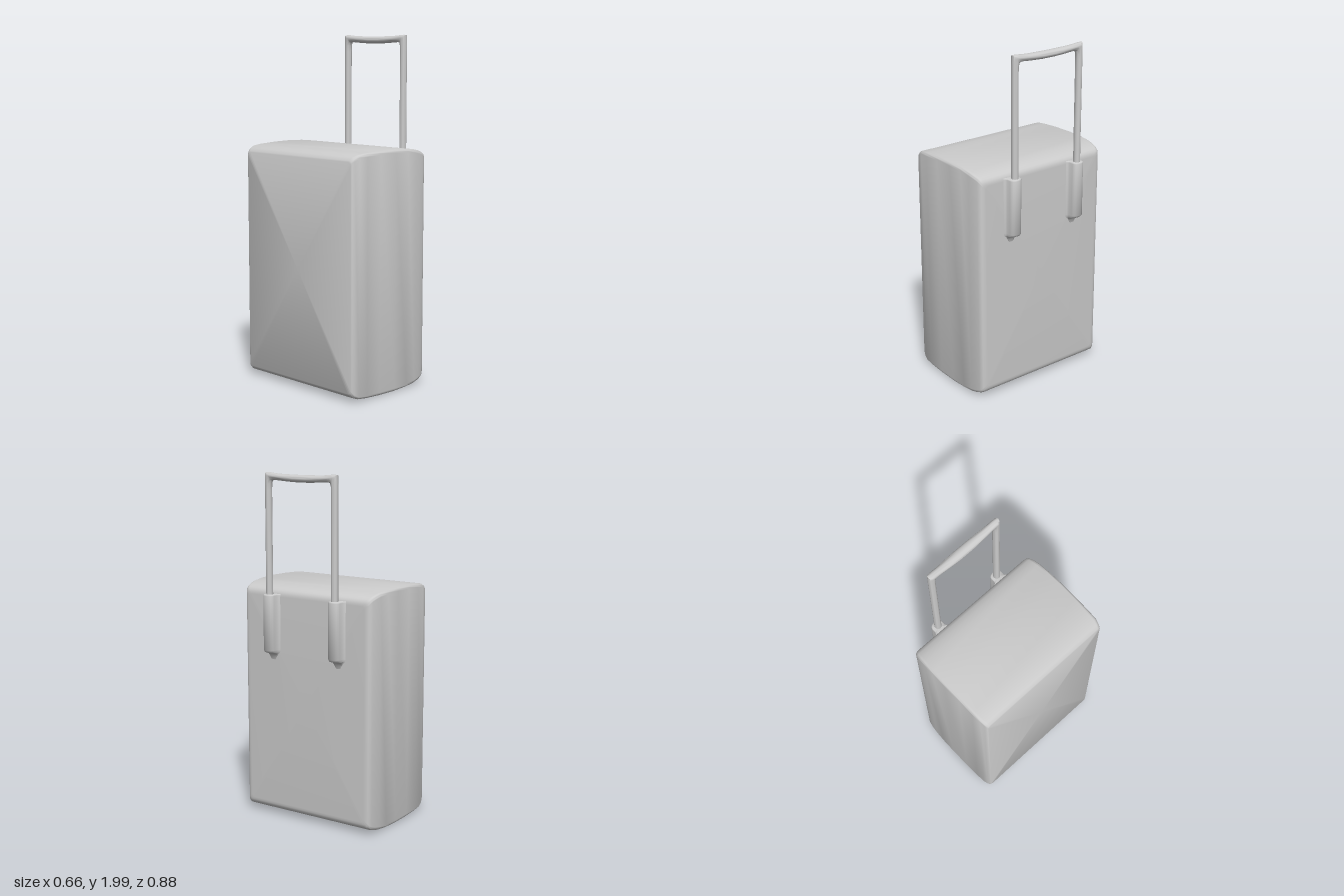
import * as THREE from 'three';
import { toCreasedNormals } from 'three/addons/utils/BufferGeometryUtils.js';

const V = (x, y, z) => new THREE.Vector3(x, y, z);

// Skins a list of closed rings and caps both ends
function loft(rings, crease = 0.7) {
  const n = rings[0].length, index = [];
  const points = rings.flat();
  for (let i = 0; i < rings.length - 1; i++) {
    for (let j = 0; j < n; j++) {
      const k = (j + 1) % n;
      const a = i * n + j, b = i * n + k, c = b + n, d = a + n;
      index.push(a, b, c, a, c, d);
    }
  }
  const cap = (ring, start, flip) => {
    const centre = ring.reduce((s, p) => s.add(p), V(0, 0, 0)).divideScalar(n);
    const m = points.push(centre) - 1;
    for (let j = 0; j < n; j++) {
      const a = start + j, b = start + (j + 1) % n;
      index.push(m, flip ? b : a, flip ? a : b);
    }
  };
  cap(rings[0], 0, true);
  cap(rings[rings.length - 1], (rings.length - 1) * n, false);
  const geo = new THREE.BufferGeometry().setFromPoints(points);
  geo.setIndex(index);
  return toCreasedNormals(geo, crease);
}

// Rounded rectangle in the yz plane at a given x
function bodyRing(x, insetY, insetZ, r = 0.02) {
  const hy = 0.686 - insetY, hz = 0.442 - insetZ, ring = [];
  const corners = [[1, 1], [-1, 1], [-1, -1], [1, -1]];
  corners.forEach(([sy, sz], q) => {
    for (let i = 0; i <= 5; i++) {
      const a = (q + i / 5) * Math.PI / 2;
      ring.push(V(x, 0.689 + sy * (hy - r) + r * Math.cos(a), sz * (hz - r) + r * Math.sin(a)));
    }
  });
  return ring;
}

export function createModel() {
  const group = new THREE.Group();
  const material = new THREE.MeshStandardMaterial({ color: 0xcccccc });
  const add = (name, geo) => {
    const mesh = new THREE.Mesh(geo, material);
    mesh.name = name;
    group.add(mesh);
    return mesh;
  };

  // Case: gently crowned sides, flat crisp left... right-hand face soft-edged
  const sections = [ // x, inset in y, inset in z
    [-0.33, 0.05, 0.024], [-0.326, 0.042, 0.018], [-0.31, 0.026, 0.012],
    [-0.28, 0.014, 0.005], [-0.22, 0.007, 0.003], [-0.12, 0.002, 0.001],
    [0, 0, 0], [0.1, 0.004, 0.001], [0.17, 0.011, 0.004], [0.205, 0.019, 0.007],
    [0.235, 0.029, 0.012], [0.25, 0.038, 0.016], [0.259, 0.049, 0.023],
    [0.264, 0.062, 0.036], [0.265, 0.075, 0.05],
  ];
  add('caseBody', loft(sections.map((s) => bodyRing(...s))));

  // Handle sleeves: D-shaped tubes flaring into the case wall
  const half = [[0.055, 0.255], [0.053, 0.263], [0.042, 0.269], [0.036, 0.28],
    [0.036, 0.303], [0.033, 0.314], [0.026, 0.323], [0.014, 0.328]];
  const profile = [...half, [0, 0.329], ...half.map(([z, x]) => [-z, x]).reverse()];
  const levels = [ // y, width scale, depth scale
    [0.935, 0.4, 0.03], [0.955, 0.65, 0.12], [0.97, 0.85, 0.28], [0.977, 0.92, 0.6],
    [0.983, 0.96, 0.85], [0.996, 1, 1], [1.308, 1, 1], [1.314, 0.97, 0.97], [1.316, 0.9, 0.92],
  ];
  for (const side of [1, -1]) {
    const rings = levels.map(([y, w, d]) => profile.map(([z, x]) =>
      V(x > 0.26 ? 0.263 + (x - 0.263) * d : x, y, side * 0.223 + z * w)));
    add(side > 0 ? 'frontSleeve' : 'backSleeve', loft(rings, 0.9));
  }

  // Pull handle: two rods joined by a swelling grip, filleted inside the corners
  const halfPath = [ // y, z, outward direction angle from z, outer, inner, x half-width
    [1.02, 0.222, 0, 0.019, 0.019, 0.021], [1.9, 0.222, 0, 0.019, 0.019, 0.021],
    [1.935, 0.222, 0, 0.019, 0.021, 0.021], [1.955, 0.222, 0.2, 0.019, 0.027, 0.021],
    [1.972, 0.222, 0.5, 0.021, 0.034, 0.021], [1.978, 0.222, 0.785, 0.026, 0.037, 0.021],
    [1.979, 0.215, 1.1, 0.021, 0.034, 0.021], [1.978, 0.2, 1.4, 0.019, 0.027, 0.021],
    [1.976, 0.18, 1.571, 0.018, 0.02, 0.021], [1.973, 0.14, 1.571, 0.018, 0.02, 0.023],
    [1.971, 0.09, 1.571, 0.019, 0.021, 0.026], [1.97, 0.04, 1.571, 0.019, 0.022, 0.028],
  ];
  const path = [...halfPath,
    ...halfPath.map(([y, z, a, ...r]) => [y, -z, Math.PI - a, ...r]).reverse()];
  const handleRings = path.map(([y, z, a, outer, inner, w]) => {
    const ring = [];
    for (let i = 0; i < 20; i++) {
      const t = i / 20 * Math.PI * 2, c = Math.cos(t);
      const r = c * (c > 0 ? outer : inner);
      ring.push(V(0.298 + w * Math.sin(t), y + r * Math.sin(a), z + r * Math.cos(a)));
    }
    return ring;
  });
  add('pullHandle', loft(handleRings, 1.1));

  return group;
}
